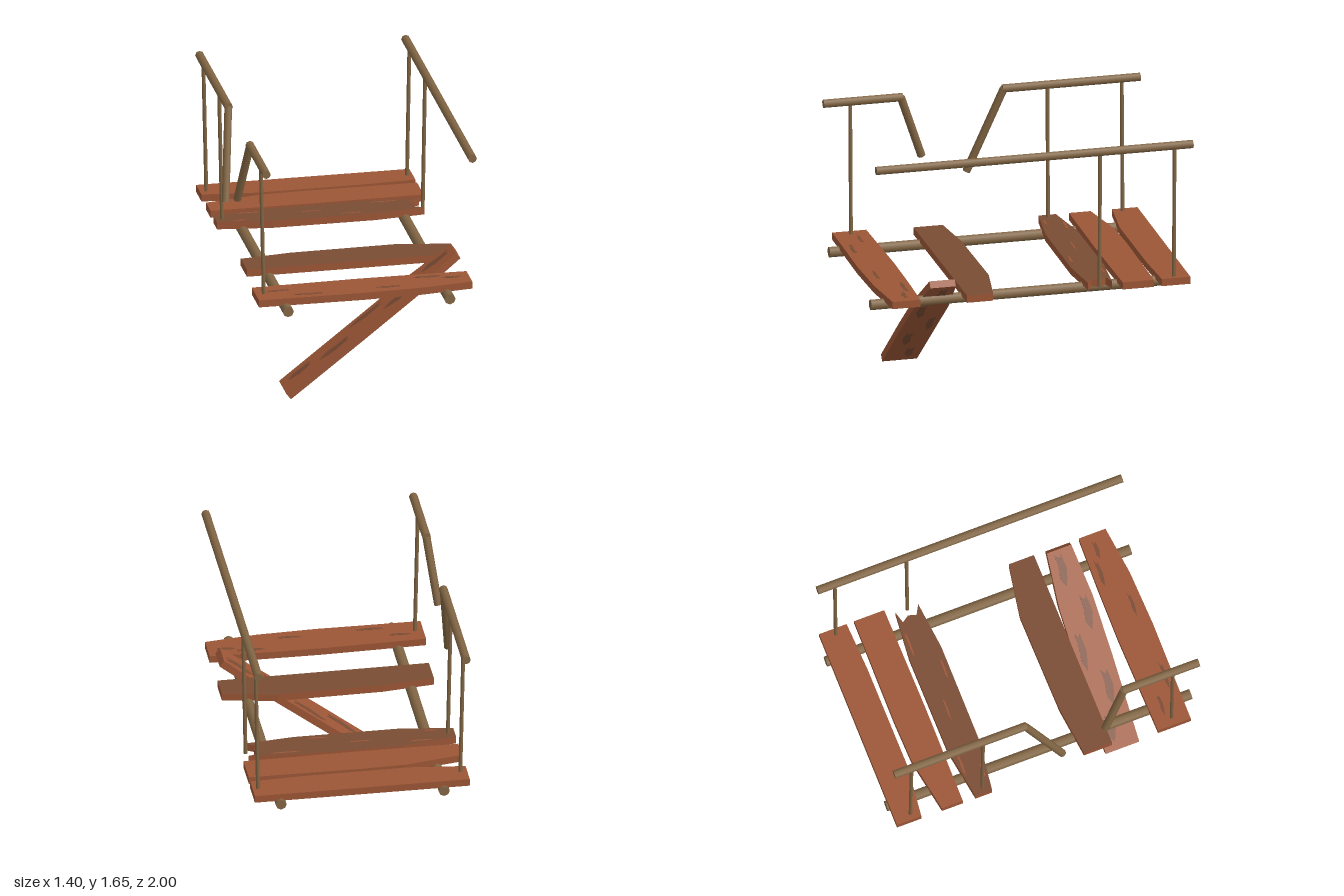
import * as THREE from 'three';

const mat = (name, color) => {
  const m = new THREE.MeshStandardMaterial({ color });
  m.name = name;
  return m;
};

export function createModel() {
  const model = new THREE.Group();
  model.name = 'brokenBridge';
  const wood = mat('redWood', 0x9c5636);
  const worn = mat('wornWood', 0x7a4c34);
  const pole = mat('poleWood', 0x826644);

  // Round pole between two points
  const addPole = (name, a, b, r) => {
    const from = new THREE.Vector3(...a), to = new THREE.Vector3(...b);
    const dir = to.clone().sub(from);
    const mesh = new THREE.Mesh(new THREE.CylinderGeometry(r, r, dir.length(), 8), pole);
    mesh.name = name;
    mesh.position.copy(from).add(to).multiplyScalar(0.5);
    mesh.quaternion.setFromUnitVectors(new THREE.Vector3(0, 1, 0), dir.normalize());
    model.add(mesh);
  };

  // Flat slab from an outline of [x, z] points, standing on height y
  const slab = (name, outline, y, depth, material) => {
    const shape = new THREE.Shape(outline.map(([x, z]) => new THREE.Vector2(x, -z)));
    const geo = new THREE.ExtrudeGeometry(shape, { depth, bevelEnabled: false });
    geo.rotateX(-Math.PI / 2);
    const mesh = new THREE.Mesh(geo, material);
    mesh.name = name;
    mesh.position.y = y;
    return mesh;
  };

  // Ragged weathered patch: centre x, z and half sizes
  const patch = ([x, z, w, d], y, material) => slab('weatheredPatch', [
    [x - w, z - d * 0.2], [x - w * 0.5, z - d], [x + w * 0.3, z - d * 0.6], [x + w, z - d * 0.7],
    [x + w * 0.7, z + d * 0.2], [x + w * 0.9, z + d * 0.7], [x, z + d], [x - w * 0.6, z + d * 0.4],
  ], y, 0.003, material);

  // Support logs under the deck
  for (const x of [-0.48, 0.53]) addPole('supportLog', [x, 0.712, -1], [x, 0.712, 1], 0.034);

  // Handrails, one whole and one snapped in the middle
  const railY = 1.627, L = -0.617, R = 0.67;
  addPole('wholeHandrail', [R, railY, -1], [R, railY, 1], 0.027);
  addPole('rearHandrail', [L, railY, -1], [L, railY, -0.13], 0.027);
  addPole('frontHandrail', [L, railY, 0.5], [L, railY, 1], 0.027);
  addPole('rearSnappedRail', [L, railY, -0.14], [-0.68, 1.09, 0.08], 0.025);
  addPole('frontSnappedRail', [L, railY, 0.51], [-0.667, 1.22, 0.367], 0.025);

  // Railing posts
  for (const z of [0.83, -0.415, -0.885]) addPole('leftPost', [-0.598, 0.75, z], [L, railY, z], 0.012);
  for (const z of [-0.415, -0.885]) addPole('rightPost', [0.655, 0.75, z], [R, railY, z], 0.012);

  // Deck planks: outline, top colour, patches
  const planks = [
    { top: wood, pts: [[-0.64, -0.99], [0, -0.985], [0.69, -0.98], [0.69, -0.8], [0.37, -0.788], [-0.3, -0.79], [-0.64, -0.83]], patches: [] },
    { top: wood, pts: [[-0.64, -0.695], [-0.28, -0.755], [0, -0.76], [0.69, -0.75], [0.69, -0.553], [0, -0.55], [-0.64, -0.558]], patches: [] },
    {
      top: worn,
      pts: [[-0.64, -0.475], [-0.3, -0.525], [0.34, -0.525], [0.65, -0.495], [0.575, -0.475], [0.605, -0.43], [0.59, -0.38], [0.65, -0.345], [0.34, -0.315], [-0.3, -0.32], [-0.64, -0.365]],
      patches: [[-0.42, -0.48, 0.08, 0.008], [-0.5, -0.37, 0.05, 0.008], [-0.05, -0.43, 0.08, 0.006], [0.42, -0.49, 0.09, 0.008], [0.2, -0.35, 0.07, 0.007]],
    },
    { top: worn, pts: [[-0.62, 0.245], [-0.3, 0.21], [0.35, 0.205], [0.69, 0.265], [0.69, 0.43], [-0.62, 0.43]], patches: [] },
    {
      top: wood,
      pts: [[-0.65, 0.72], [0, 0.71], [0.35, 0.715], [0.69, 0.725], [0.69, 0.9], [0.37, 0.935], [0, 0.945], [-0.65, 0.935]],
      patches: [[-0.33, 0.89, 0.09, 0.013], [0.43, 0.765, 0.09, 0.015], [0.58, 0.8, 0.06, 0.015], [0.17, 0.875, 0.08, 0.012], [-0.5, 0.8, 0.07, 0.012]],
    },
  ];
  for (const { top, pts, patches } of planks) {
    model.add(slab('deckPlank', pts, 0.73, 0.046, [top, wood]));
    for (const p of patches) model.add(patch(p, 0.7745, top === worn ? wood : worn));
  }

  // Fallen plank leaning through the gap, patched on both faces
  const fallen = new THREE.Group();
  fallen.name = 'fallenPlank';
  fallen.add(slab('fallenBoard', [
    [-0.675, -0.11], [0.32, -0.11], [0.675, -0.08], [0.675, 0.08], [0.32, 0.112], [-0.1, 0.115], [-0.675, 0.11],
  ], -0.023, 0.046, wood));
  const marks = [[-0.53, -0.03, 0.09, 0.03], [-0.27, 0.035, 0.12, 0.03], [0, -0.055, 0.13, 0.025], [0.23, 0.05, 0.12, 0.03], [0.54, -0.02, 0.11, 0.03]];
  for (const m of marks) for (const y of [0.0215, -0.0245]) fallen.add(patch(m, y, worn));
  fallen.position.set(0.12, 0.438, 0.575);
  fallen.rotation.z = Math.atan2(0.83, 1.065);
  model.add(fallen);

  return model;
}
